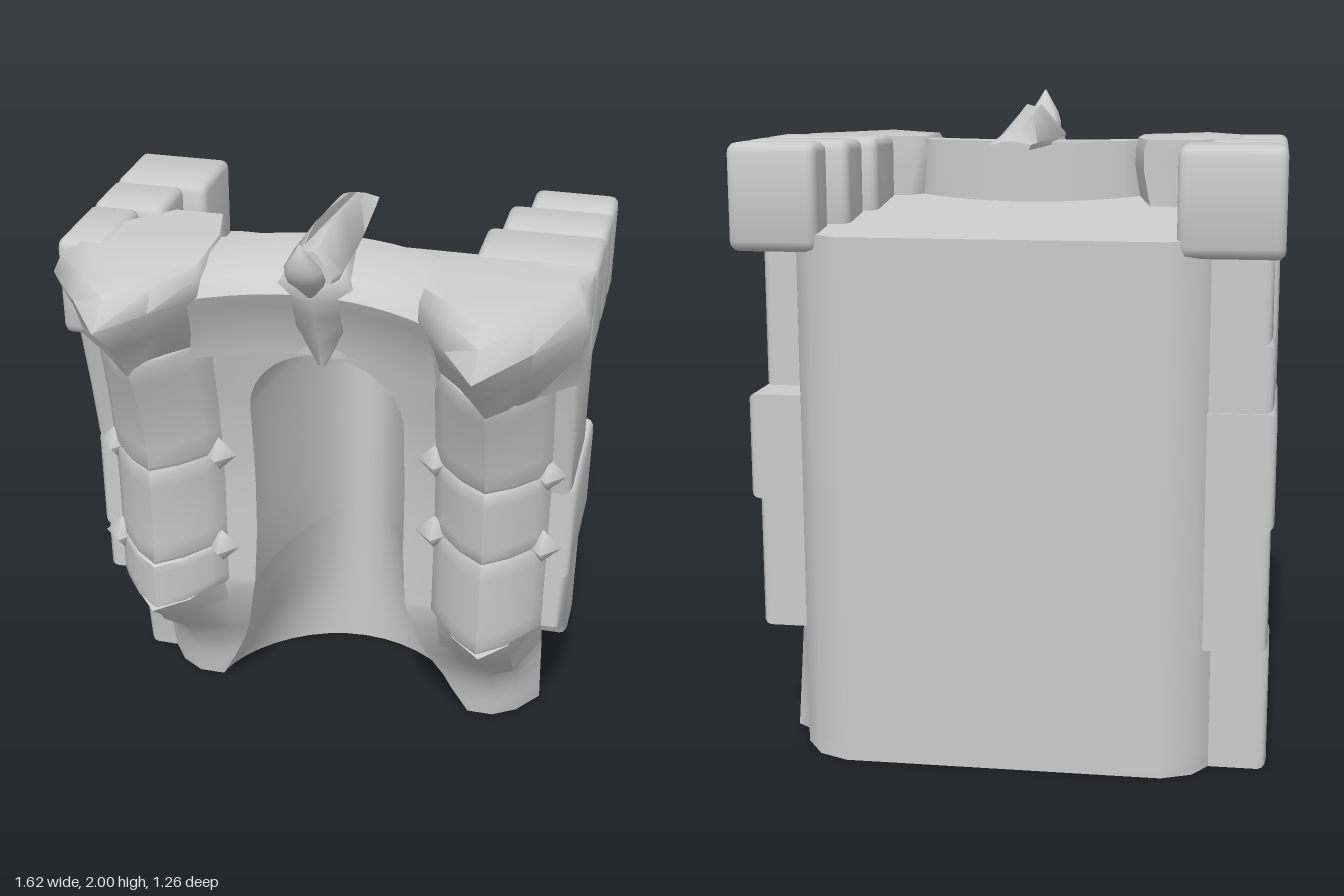
import * as THREE from 'three';
import { toCreasedNormals } from 'three/addons/utils/BufferGeometryUtils.js';

const mat = new THREE.MeshStandardMaterial({ color: 0xcccccc });

function add(group, name, geo, crease = 0.8) {
  const mesh = new THREE.Mesh(toCreasedNormals(geo, crease), mat);
  mesh.name = name;
  group.add(mesh);
  return mesh;
}

// Piecewise-linear lookup in [[key, value], ...]
function lerpTable(table, k) {
  if (k <= table[0][0]) return table[0][1];
  for (let i = 1; i < table.length; i++) {
    const [a, va] = table[i - 1], [b, vb] = table[i];
    if (k <= b) return va + (vb - va) * (k - a) / (b - a);
  }
  return table[table.length - 1][1];
}

// Closed solid through stacked contours of [x, y, z], listed from bottom to top
function loft(rows) {
  const flat = r => r.map(p => new THREE.Vector2(p[0], -p[2]));
  if (THREE.ShapeUtils.area(flat(rows[Math.floor(rows.length / 2)])) < 0) rows = rows.map(r => [...r].reverse());
  const n = rows[0].length, last = (rows.length - 1) * n, index = [];
  for (let j = 0; j < rows.length - 1; j++) {
    for (let i = 0; i < n; i++) {
      const a = j * n + i, b = j * n + (i + 1) % n;
      index.push(a, b, b + n, a, b + n, a + n);
    }
  }
  THREE.ShapeUtils.triangulateShape(flat(rows[0]), []).forEach(([a, b, c]) => index.push(a, c, b));
  THREE.ShapeUtils.triangulateShape(flat(rows[rows.length - 1]), []).forEach(([a, b, c]) => index.push(last + a, last + b, last + c));
  const geo = new THREE.BufferGeometry();
  geo.setAttribute('position', new THREE.Float32BufferAttribute(rows.flat(2), 3));
  geo.setIndex(index);
  return geo;
}

// Bevelled stone: outline in [z, y], extruded between two x values
function stone(group, name, outline, x0, x1, b = 0.025) {
  const lo = Math.min(x0, x1), hi = Math.max(x0, x1);
  const shape = new THREE.Shape(outline.map(([z, y]) => new THREE.Vector2(-z, y)));
  const geo = new THREE.ExtrudeGeometry(shape, {
    depth: hi - lo - 2 * b, bevelSize: b, bevelOffset: -b, bevelThickness: b, bevelSegments: 3,
  });
  geo.rotateY(Math.PI / 2).translate(lo + b, 0, 0);
  add(group, name, geo, 0.9);
}
const rect = (z0, z1, y0, y1) => [[z0, y0], [z1, y0], [z1, y1], [z0, y1]];

// Block with generously rounded corners in side outline
function softRect(z0, z1, y0, y1) {
  const r = 0.03, corners = [[z0 + r, y0 + r, Math.PI], [z1 - r, y0 + r, 1.5 * Math.PI], [z1 - r, y1 - r, 0], [z0 + r, y1 - r, 0.5 * Math.PI]];
  return corners.flatMap(([z, y, a]) => [0, 1, 2].map(i => {
    const t = a + i * Math.PI / 4;
    return [z + r * Math.cos(t), y + r * Math.sin(t)];
  }));
}

// Front depth by height: buttress ridge, wall beside it, outer flank; then niche half width
const RIDGE = [[0, -0.22], [0.12, -0.2], [0.25, -0.13], [0.38, 0], [0.48, 0.12], [0.58, 0.235], [0.9, 0.21], [1.2, 0.22], [1.35, 0.26], [1.55, 0.34]];
const WALL = [[0, -0.22], [0.2, -0.17], [0.4, -0.06], [0.58, 0], [1, 0], [1.25, 0.03], [1.55, 0.1]];
const FLANK = [[0, -0.37], [0.36, -0.28], [0.58, -0.06], [0.8, -0.03], [1.55, 0.07]];
const NICHE = [[0, 0.46], [0.12, 0.4], [0.25, 0.345], [0.38, 0.305], [0.6, 0.26], [0.8, 0.25]];
const ARCH_Y = 1.28, ARCH_R = 0.25, NICHE_BACK = -0.58;

// One horizontal slice of the wall with its niche
function wallSlice(y) {
  const wall = lerpTable(WALL, y), full = lerpTable(RIDGE, y);
  const ridge = y < 0.59 ? full : wall + (full - wall) * 0.6;
  let w = lerpTable(NICHE, y), back = NICHE_BACK;
  if (y > ARCH_Y) w = ARCH_R * Math.sqrt(Math.max(0, 1 - ((y - ARCH_Y) / ARCH_R) ** 2));
  if (y >= ARCH_Y + ARCH_R) { w = 0.002; back = wall - 0.002; }
  const side = [
    [Math.max(0.37, w + 0.01), wall], [Math.max(0.45, w + 0.025), wall + (ridge - wall) * 0.6],
    [0.55, ridge], [0.63, wall + (ridge - wall) * 0.6 - (y < 0.3 ? 0.05 : 0)],
    [0.7, lerpTable(FLANK, y)], [0.66, -0.4], [0.63, -0.5], [0.57, -0.59], [0.48, -0.63],
  ];
  const niche = [];
  for (let i = 0; i <= 20; i++) {
    const t = Math.PI * i / 20;
    niche.push([-w * Math.cos(t), wall - (wall - back) * Math.abs(Math.sin(t)) ** 1.35]);
  }
  const rise = z => (y > 1.59 ? 0.12 * (z + 0.63) : 0);
  return [...niche, ...side, ...[...side].reverse().map(([x, z]) => [-x, z])].map(([x, z]) => [x, y + rise(z), z]);
}

// One facing stone of a buttress, following its curved ridge
function facing(group, s, y0, y1) {
  const rows = [];
  for (let i = 0; i <= 8; i++) {
    const v = Math.min(1, Math.max(0, (i - 1) / 6)), inset = i === 0 || i === 8 ? 0.01 : 0;
    const y = y0 + (y1 - y0) * (i === 0 ? 0 : i === 8 ? 1 : 0.04 + 0.92 * v);
    const wall = lerpTable(WALL, y), d = lerpTable(RIDGE, y) - wall;
    const front = [[0.355, 0.1], [0.39, 0.32], [0.46, 0.72], [0.54, 1], [0.62, 0.72], [0.69, 0.32], [0.72, 0.1]];
    rows.push([[0.72, -0.12], [0.355, -0.12]].map(([x, z]) => [s * x, y, z])
      .concat(front.map(([x, f]) => [s * x, y, wall + d * f - inset])));
  }
  add(group, 'buttressStone', loft(rows));
}

// Pointed capstone over a buttress
function beak(group, s, tip, backOuter, backInner) {
  const level = (y, xi, zi, zt, xo, zo, ridgeDrop) => [
    [xi + 0.04, y, backInner], [xi, y, 0.01], [xi, y, zi],
    [(xi + 0.545) / 2, y - ridgeDrop / 2, (zi + zt) / 2 - 0.01], [0.545, y - ridgeDrop, zt],
    [(xo + 0.545) / 2, y - ridgeDrop / 2, (zo + zt) / 2 - 0.01], [xo, y, zo], [xo, y, zo * 0.5], [backOuter, y, -0.02], [0.53, y, backInner],
  ].map(([x, py, z]) => [s * x, py, z]);
  add(group, 'beakCapstone', loft([
    level(1.55, 0.36, 0.13, 0.33, 0.79, 0.12, 0.04),
    level(1.66, 0.35, 0.2, tip - 0.16, 0.785, 0.16, 0.02),
    level(1.77, 0.33, 0.28, tip, 0.81, 0.2, 0),
    level(1.83, 0.33, 0.27, tip - 0.1, 0.785, 0.18, 0),
    level(1.86, 0.34, 0.24, tip - 0.17, 0.75, 0.14, 0),
  ]), 1.1);
}

export function createModel() {
  const group = new THREE.Group();
  group.name = 'nicheGate';

  // Wall with flared base and arched niche
  const ys = [0, 0.06, 0.12, 0.18, 0.25, 0.31, 0.38, 0.48, 0.58, 0.595, 0.8, 1, 1.15, ARCH_Y];
  for (let i = 1; i <= 10; i++) ys.push(ARCH_Y + ARCH_R * Math.sin(Math.PI / 2 * i / 10.3));
  ys.push(ARCH_Y + ARCH_R + 0.001, 1.59, 1.6);
  add(group, 'wall', loft(ys.map(wallSlice)));

  // Lintel, bowed in plan
  const lintelRow = (y, front, back, hw) => {
    const row = [];
    for (let i = 0; i <= 12; i++) { const x = hw * (i / 6 - 1); row.push([x, y, front + 0.9 * x * x]); }
    for (let i = 12; i >= 0; i--) { const x = hw * (i / 6 - 1); row.push([x, y, back + 0.9 * x * x]); }
    return row;
  };
  add(group, 'lintel', loft([
    [1.535, 0.09, 0.38], [1.63, 0.11, 0.37], [1.72, 0.16, 0.36], [1.77, 0.185, 0.36], [1.815, 0.14, 0.36], [1.85, 0.02, 0.36],
  ].map(([y, front, hw]) => lintelRow(y, front, -0.1, hw))), 1.1);

  // Buttress facing stones, left (+x) and right (-x)
  [[0.59, 0.92], [0.92, 1.185], [1.185, 1.55]].forEach(([a, b]) => facing(group, 1, a, b));
  [[0.59, 0.755], [0.755, 1.11], [1.11, 1.55]].forEach(([a, b]) => facing(group, -1, a, b));

  // Diamond studs at the joints
  for (const [s, heights] of [[1, [0.92, 1.185]], [-1, [0.755, 1.11]]]) {
    for (const y of heights) for (const x of [0.358, 0.71]) {
      add(group, 'stud', new THREE.OctahedronGeometry(0.06), 1.3).position.set(s * x, y, 0.045);
    }
  }

  // Beak capstones
  beak(group, 1, 0.63, 0.8, -0.02);
  beak(group, -1, 0.58, 0.66, -0.15);

  // Capstones running back along both sides
  [[0.0, -0.26, 0.44], [-0.26, -0.455, 0.48], [-0.455, -0.61, 0.54]]
    .forEach(([z1, z0, xi]) => stone(group, 'capstone', softRect(z0, z1, 1.55, 1.865), xi, 0.805));
  [[0.18, -0.13, 0.645], [-0.13, -0.345, 0.57], [-0.345, -0.62, 0.5]]
    .forEach(([z1, z0, xi]) => stone(group, 'capstone', softRect(z0, z1, 1.55, 1.865), -xi, -0.805));

  // Side stones, left (+x)
  stone(group, 'sideStone', [[-0.34, 1.1], [0.01, 1.1], [0.05, 1.3], [0.11, 1.55], [-0.34, 1.55]], 0.5, 0.785);
  stone(group, 'sideStone', rect(-0.49, 0.0, 0.78, 1.105), 0.5, 0.8);
  stone(group, 'sideStone', [[-0.45, 0.36], [-0.28, 0.36], [-0.21, 0.5], [-0.1, 0.55], [0, 0.58], [0, 0.78], [-0.45, 0.78]], 0.5, 0.785);

  // Side stones, right (-x)
  stone(group, 'sideStone', [[-0.28, 1.1], [0.01, 1.1], [0.05, 1.3], [0.11, 1.55], [-0.28, 1.55]], -0.5, -0.79);
  stone(group, 'sideStone', rect(-0.55, -0.28, 1.3, 1.55), -0.5, -0.775);
  stone(group, 'sideStone', rect(-0.55, -0.28, 1.1, 1.3), -0.5, -0.785);
  stone(group, 'sideStone', rect(-0.555, 0.0, 0.75, 1.1), -0.5, -0.795);
  stone(group, 'sideStone', [[-0.555, 0.38], [-0.28, 0.38], [-0.14, 0.48], [0, 0.58], [0, 0.75], [-0.555, 0.75]], -0.5, -0.785);
  stone(group, 'sideStone', [[-0.52, 0], [-0.35, 0], [-0.32, 0.2], [-0.27, 0.39], [-0.52, 0.39]], -0.5, -0.79);

  // Keystone, swelling from a point at the arch up to the horn
  add(group, 'keystone', loft([[1.5, 0.012, 0.1], [1.6, 0.06, 0.135], [1.7, 0.11, 0.19], [1.77, 0.13, 0.225], [1.82, 0.1, 0.23], [1.86, 0.085, 0.2]]
    .map(([y, w, z]) => [[-w, y, 0.02], [-w, y, z - w * 0.5], [0, y, z], [w, y, z - w * 0.5], [w, y, 0.02]])), 1.1);

  // Ridged tongue running back over the lintel
  const spine = [[0.24, 1.935, 0.07], [0.2, 1.94, 0.088], [0.07, 1.96, 0.09], [-0.1, 1.935, 0.085], [-0.34, 1.895, 0.068], [-0.42, 1.865, 0.06]];
  const tongueRow = (k, yOf) => [...spine.map(([z, y, w]) => [w * k, yOf(y), z]),
    ...[...spine].reverse().map(([z, y, w]) => [-w * k, yOf(y), z])];
  add(group, 'tongue', loft([tongueRow(0.9, () => 1.84), tongueRow(1, y => 1.855 + (y - 1.865) * 0.1), tongueRow(0.25, y => y)]), 1.1);

  // Curved horn
  const horn = [[1.79, 0.22, 0.012, 0.02], [1.835, 0.245, 0.045, 0.04], [1.87, 0.28, 0.06, 0.055], [1.9, 0.3, 0.057, 0.05], [1.93, 0.322, 0.045, 0.038], [1.965, 0.338, 0.023, 0.02], [2, 0.345, 0.002, 0.002]];
  add(group, 'horn', loft(horn.map(([y, z, rx, rz]) => Array.from({ length: 8 }, (_, i) => {
    const t = Math.PI * i / 4;
    return [rx * Math.cos(t), y, z + rz * Math.sin(t)];
  }))), 1.1);

  return group;
}
